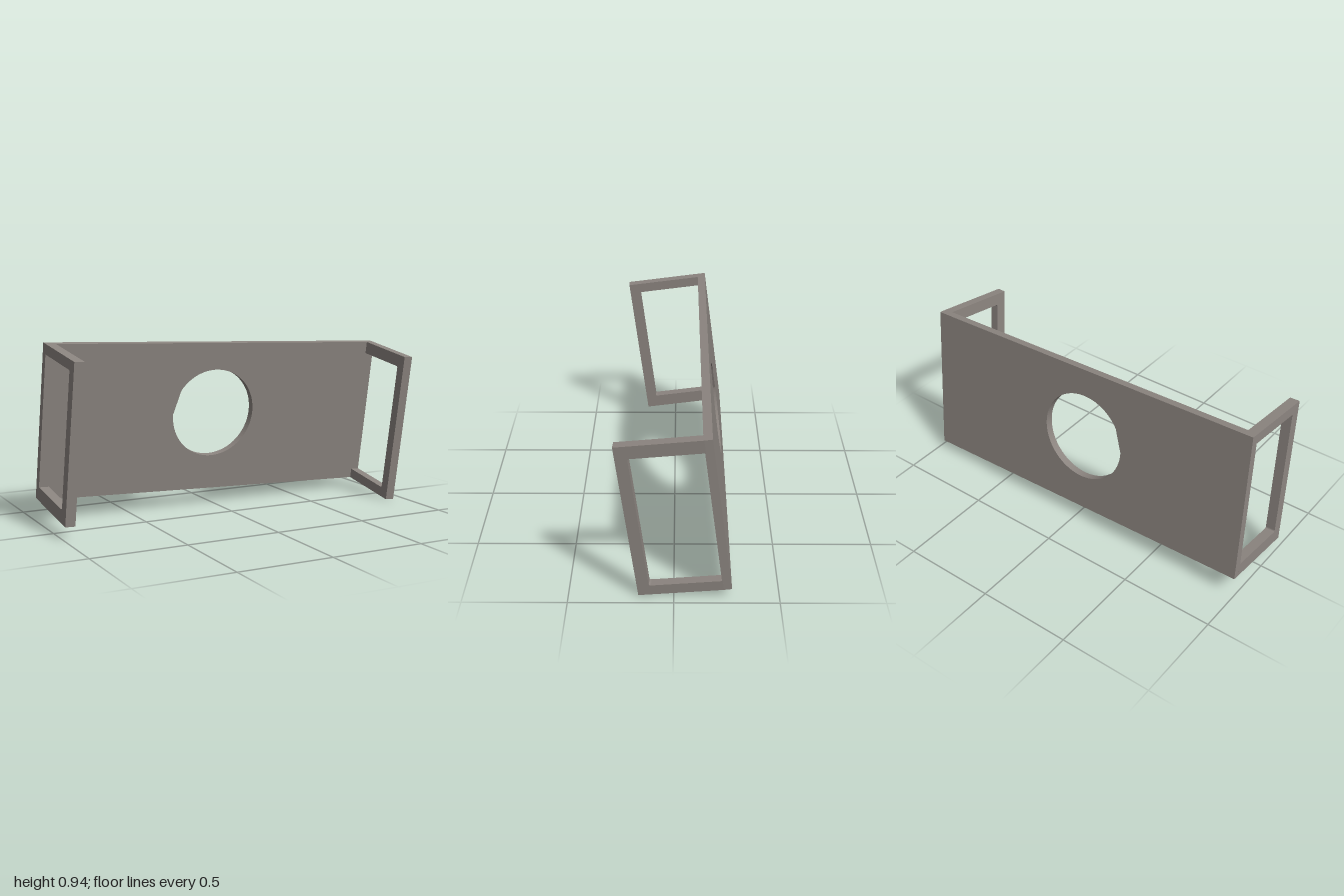
import * as THREE from 'three';

const W = 1.966, H = 0.817, D = 0.447, T = 0.042; // panel width, height, bracket depth, panel thickness
const material = new THREE.MeshStandardMaterial({ color: 0x8c8580, flatShading: true });

// Flat panel with one round opening, flattened along a short chord on its upper left
function createPanel() {
  const shape = new THREE.Shape([
    new THREE.Vector2(-W / 2, -H / 2), new THREE.Vector2(W / 2, -H / 2),
    new THREE.Vector2(W / 2, H / 2), new THREE.Vector2(-W / 2, H / 2),
  ]);
  const hole = new THREE.Path();
  hole.absarc(-0.017, 0.021, 0.241, -Math.PI, Math.PI * 0.82, false);
  hole.closePath();
  shape.holes.push(hole);
  const geometry = new THREE.ExtrudeGeometry(shape, { depth: T, bevelEnabled: false, curveSegments: 48 });
  const mesh = new THREE.Mesh(geometry, material);
  mesh.name = 'backPanel';
  return mesh;
}

// Three-bar side frame standing forward from one end of the panel
function createFrame(name, side, topBar, bottomBar, frontBar, thickness, yaw) {
  const h = H / 2, back = -0.004, front = D - T, inner = front - frontBar, r = 0.01;
  const shape = new THREE.Shape();
  shape.moveTo(back, -h);
  shape.lineTo(front, -h);
  shape.lineTo(front, h);
  shape.lineTo(back, h);
  shape.lineTo(back, h - topBar);
  shape.lineTo(inner - r, h - topBar);
  shape.quadraticCurveTo(inner, h - topBar, inner, h - topBar - r);
  shape.lineTo(inner, -h + bottomBar + r);
  shape.quadraticCurveTo(inner, -h + bottomBar, inner - r, -h + bottomBar);
  shape.lineTo(back, -h + bottomBar);
  const geometry = new THREE.ExtrudeGeometry(shape, { depth: thickness, bevelEnabled: false, curveSegments: 4 });
  geometry.rotateY(-Math.PI / 2); // outline now lies in z and y, thickness runs towards -x
  if (side < 0) geometry.translate(thickness, 0, 0);
  const mesh = new THREE.Mesh(geometry, material);
  mesh.name = name;
  mesh.position.set(side * W / 2, 0, T);
  mesh.rotation.y = yaw;
  return mesh;
}

export function createModel() {
  const bracket = new THREE.Group();
  bracket.name = 'bracket';
  bracket.add(
    createPanel(),
    createFrame('leftFrame', 1, 0.065, 0.052, 0.058, 0.048, -0.06),
    createFrame('rightFrame', -1, 0.052, 0.07, 0.058, 0.052, 0.01),
  );
  // The whole bracket leans forward and tips slightly sideways
  bracket.rotation.set(0.126, 0, -0.036, 'ZXY');
  bracket.position.set(-0.002, 0.501, -0.223);

  const model = new THREE.Group();
  model.name = 'model';
  model.add(bracket);
  return model;
}
